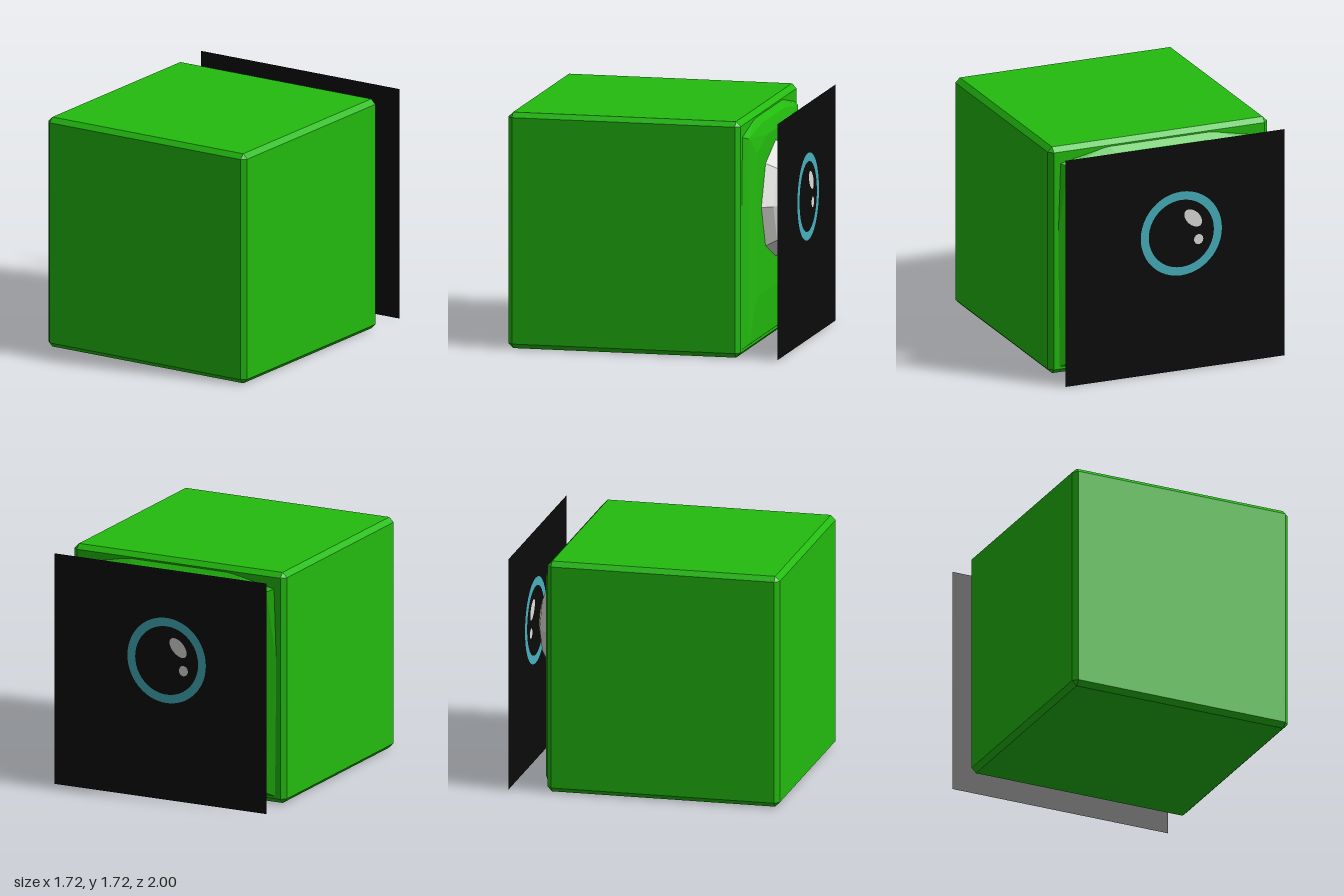
import * as THREE from 'three';
import { ConvexGeometry } from 'three/addons/geometries/ConvexGeometry.js';

const paint = (name, color, side = THREE.FrontSide) => {
  const m = new THREE.MeshStandardMaterial({ color, side });
  m.name = name;
  return m;
};

export function createModel() {
  const group = new THREE.Group();
  const green = paint('green', 0x23bb0e);
  const white = paint('white', 0xdededa);
  const panelBlack = paint('black', 0x0b0b0b, THREE.DoubleSide);
  const ringBlue = paint('blue', 0x46b0be, THREE.DoubleSide);
  const panelWhite = paint('panel white', 0xdededa, THREE.DoubleSide);

  const add = (name, geometry, material) => {
    const mesh = new THREE.Mesh(geometry, material);
    mesh.name = name;
    group.add(mesh);
    return mesh;
  };

  // Chamfered cube: three points around each corner
  const h = 0.86, c = h - 0.035;
  const corners = [];
  for (const x of [-1, 1]) for (const y of [-1, 1]) for (const z of [-1, 1]) {
    corners.push(
      new THREE.Vector3(x * h, y * c, z * c),
      new THREE.Vector3(x * c, y * h, z * c),
      new THREE.Vector3(x * c, y * c, z * h));
  }
  add('cubeBody', new ConvexGeometry(corners), green).position.set(0, h, 0.14);

  // Shallow raised face on the back, mirrored half outline at three depths
  const half = [
    [0.79, 0.05, -0.715], [0.80, 1.0, -0.715], [0.78, 1.6, -0.715], [0.4, 1.68, -0.715],
    [0.72, 0.08, -0.755], [0.73, 1.58, -0.755], [0.35, 1.63, -0.755],
    [0.58, 0.40, -0.78], [0.58, 1.45, -0.78], [0.3, 1.54, -0.78],
  ];
  const relief = half.flatMap(([x, y, z]) => [
    new THREE.Vector3(x, y, z), new THREE.Vector3(-x, y, z)]);
  add('raisedFace', new ConvexGeometry(relief), green);

  // Faceted eyeball dome
  const profile = [[0.42, 0.74], [0.425, 0.78], [0.37, 0.855], [0.265, 0.925], [0.13, 0.965], [0, 0.965]]
    .map(([r, d]) => new THREE.Vector2(r, d));
  const dome = new THREE.LatheGeometry(profile, 8).rotateX(-Math.PI / 2).toNonIndexed();
  dome.computeVertexNormals();
  add('eyeball', dome, white).position.set(0.03, 1.035, 0);

  // Flat panel with the drawn eye, pieces fitted into each other's holes
  const ellipse = (Type, x, y, a, b, turn = 0) =>
    new Type().absellipse(x, y, a, b, 0, Math.PI * 2, false, turn);
  const eye = [-0.05, 1.04];
  const outer = [...eye, 0.318, 0.318];
  const inner = [...eye, 0.255, 0.255];
  const glints = [[-0.143, 1.145, 0.085, 0.05, Math.PI / 4], [-0.186, 0.978, 0.036, 0.038, 0]];

  const plate = (name, shape, holes, material) => {
    shape.holes = holes.map((e) => ellipse(THREE.Path, ...e));
    // turned over so that it faces the back
    const geometry = new THREE.ShapeGeometry(shape, 24);
    const index = geometry.index.array;
    for (let i = 0; i < index.length; i += 3) [index[i], index[i + 1]] = [index[i + 1], index[i]];
    geometry.computeVertexNormals();
    add(name, geometry, material).position.z = -1;
  };
  const square = new THREE.Shape([[-h, 0], [h, 0], [h, 2 * h], [-h, 2 * h]]
    .map(([x, y]) => new THREE.Vector2(x, y)));
  plate('backPanel', square, [outer], panelBlack);
  plate('irisRing', ellipse(THREE.Shape, ...outer), [inner], ringBlue);
  plate('pupil', ellipse(THREE.Shape, ...inner), glints, panelBlack);
  for (const g of glints) plate('eyeGlint', ellipse(THREE.Shape, ...g), [], panelWhite);

  return group;
}
